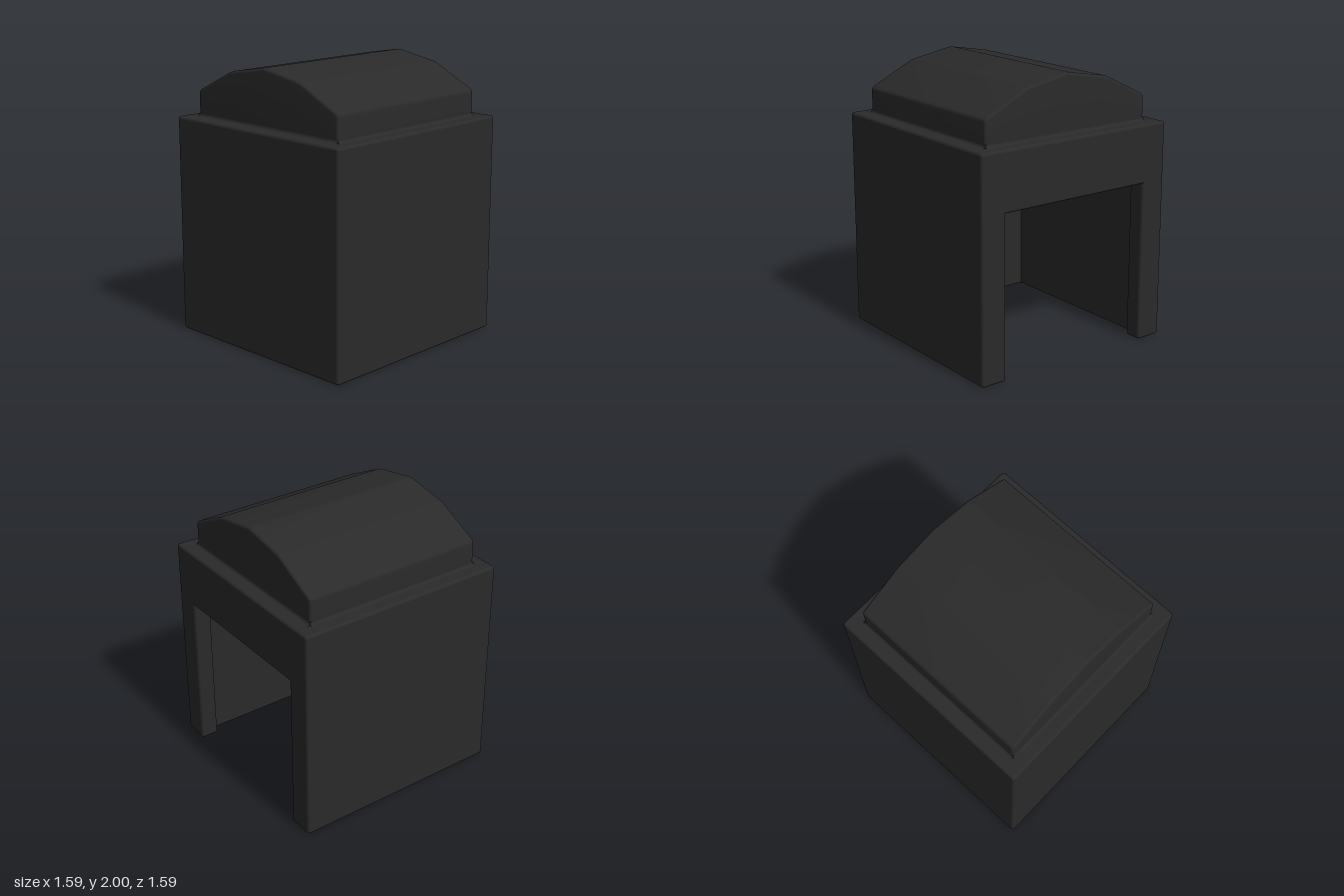
import * as THREE from 'three';
import { RoundedBoxGeometry } from 'three/addons/geometries/RoundedBoxGeometry.js';
import { toCreasedNormals } from 'three/addons/utils/BufferGeometryUtils.js';

const H = 0.793;       // half width of the body
const TOP = 1.587;     // height of the body
const T = 0.133;       // wall thickness
const R = 0.02;        // edge rounding
const ROOF = 0.685;    // half width of the roof
const DOOR = 0.598;    // half width of the doorway
const DOOR_TOP = 1.163;
const CEILING = 1.42;

// Closed outline with softly rounded corners
function roundedShape(points, r) {
  const v = points.map(([x, y]) => new THREE.Vector2(x, y));
  const shape = new THREE.Shape();
  v.forEach((p, i) => {
    const prev = v[(i + v.length - 1) % v.length];
    const next = v[(i + 1) % v.length];
    const a = p.clone().add(prev.clone().sub(p).setLength(r));
    const b = p.clone().add(next.clone().sub(p).setLength(r));
    if (i === 0) shape.moveTo(a.x, a.y);
    else shape.lineTo(a.x, a.y);
    shape.quadraticCurveTo(p.x, p.y, b.x, b.y);
  });
  shape.closePath();
  return shape;
}

// Extrude a (z, y) outline along x, centred, with rounded rims
function extrudeX(shape, width) {
  const depth = width - 2 * R;
  const geo = new THREE.ExtrudeGeometry(shape, {
    depth, curveSegments: 5, bevelEnabled: true, bevelSegments: 8,
    bevelThickness: R, bevelSize: R, bevelOffset: -R,
  });
  geo.translate(0, 0, -depth / 2).rotateY(Math.PI / 2);
  return toCreasedNormals(geo, 0.25);
}

export function createModel() {
  const model = new THREE.Group();
  model.name = 'shelter';
  const charcoal = new THREE.MeshStandardMaterial({ color: 0x2a2a2a });
  charcoal.name = 'charcoal';

  const add = (name, geo, x = 0, y = 0, z = 0, parent = model) => {
    const mesh = new THREE.Mesh(geo, charcoal);
    mesh.name = name;
    mesh.position.set(x, y, z);
    parent.add(mesh);
    return mesh;
  };
  const panel = (w, h, d) => new RoundedBoxGeometry(w, h, d, 4, R);

  // Front and back walls, each with a jamb beside the doorway
  const jamb = H - DOOR;
  for (const s of [1, -1]) {
    const side = s > 0 ? 'front' : 'back';
    add(side + 'Wall', panel(2 * H, TOP, T), 0, TOP / 2, s * (H - T / 2));
    add(side + 'Jamb', panel(T, TOP, jamb), H - T / 2, TOP / 2, s * (H - jamb / 2));
  }

  // Closed side, lintel over the doorway, ceiling slab
  add('closedSideWall', panel(T, TOP, 2 * H), -H + T / 2, TOP / 2, 0);
  add('lintel', panel(T, TOP - DOOR_TOP, 2 * H), H - T / 2, (TOP + DOOR_TOP) / 2, 0);
  add('ceiling', panel(2 * H, TOP - CEILING, 2 * H), 0, (TOP + CEILING) / 2, 0);

  // Faceted vaulted roof
  const vault = roundedShape([
    [-ROOF, 1.5], [ROOF, 1.5], [ROOF, 1.772], [0.34, 1.94],
    [0, 2], [-0.34, 1.94], [-ROOF, 1.772],
  ], 0.022);
  add('roof', extrudeX(vault, 2 * ROOF));

  // Small cove where the roof meets the body
  const cove = new THREE.Shape();
  cove.moveTo(-0.005, -0.005);
  cove.lineTo(R, -0.005);
  cove.lineTo(R, 0);
  cove.quadraticCurveTo(0, 0, 0, R);
  cove.lineTo(-0.005, R);
  cove.closePath();
  const length = 2 * ROOF;
  const coveGeo = toCreasedNormals(new THREE.ExtrudeGeometry(cove, {
    depth: length, bevelEnabled: false, curveSegments: 8,
  }).translate(ROOF, TOP, -length / 2), 0.5);
  const coves = new THREE.Group();
  coves.name = 'roofCove';
  for (let i = 0; i < 4; i++) {
    add('coveStrip', coveGeo, 0, 0, 0, coves).rotation.y = i * Math.PI / 2;
  }
  model.add(coves);

  return model;
}
